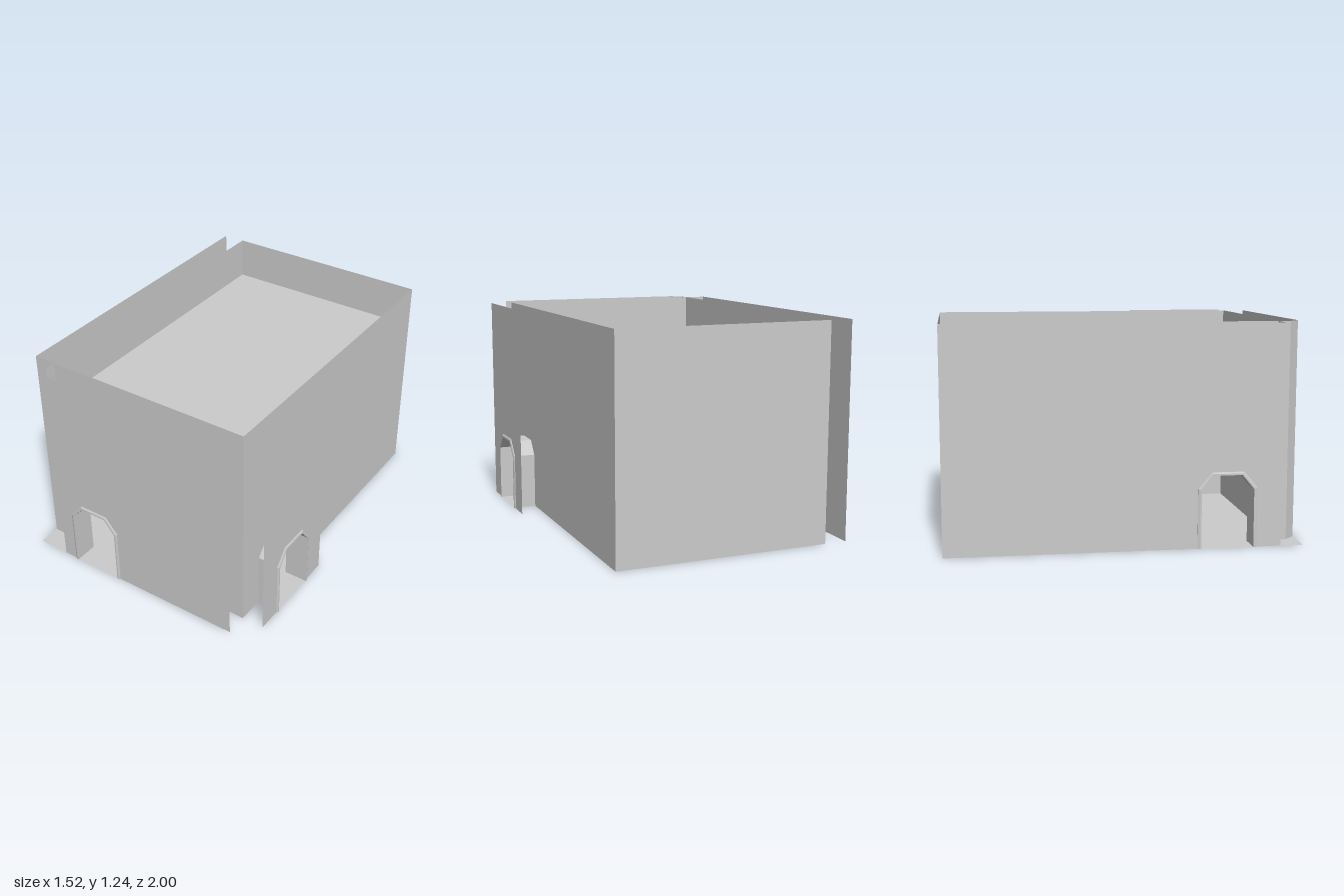
import * as THREE from 'three';

const H = 1.24, CEILING = 0.99;
const material = new THREE.MeshStandardMaterial({ color: 0xcccccc, side: THREE.DoubleSide, flatShading: true });

function part(name, geometry, parent) {
  const mesh = new THREE.Mesh(geometry, material);
  mesh.name = name;
  parent.add(mesh);
  return mesh;
}

// Chamfered doorway outline from foot to foot, centred on u
function doorway(u, halfWidth, shoulder, halfTop, top) {
  return [[-halfWidth, 0], [-halfWidth, shoulder], [-halfTop, top], [halfTop, top], [halfWidth, shoulder], [halfWidth, 0]]
    .map(([x, y]) => new THREE.Vector2(u + x, y));
}
const opening = (u) => doorway(u, 0.147, 0.327, 0.08, 0.408);
const trimMiddle = (u) => doorway(u, 0.156, 0.331, 0.085, 0.417);
const trimOuter = (u) => doorway(u, 0.167, 0.335, 0.09, 0.426);

// Open sheet spanned between two matching polylines
function sheet(a, za, b, zb) {
  const pos = [];
  for (let i = 0; i < a.length - 1; i++) {
    const p = [a[i].x, a[i].y, za], q = [a[i + 1].x, a[i + 1].y, za];
    const r = [b[i + 1].x, b[i + 1].y, zb], s = [b[i].x, b[i].y, zb];
    pos.push(...p, ...q, ...r, ...p, ...r, ...s);
  }
  const g = new THREE.BufferGeometry();
  g.setAttribute('position', new THREE.Float32BufferAttribute(pos, 3));
  g.computeVertexNormals();
  return g;
}

// Flat wall from u0 to u1 with a doorway cut up from the ground
function wall(u0, u1, door) {
  const v = (x, y) => new THREE.Vector2(x, y);
  return new THREE.ShapeGeometry(new THREE.Shape([v(u0, 0), ...opening(door), v(u1, 0), v(u1, H), v(u0, H)]));
}

function slab(x0, x1, z0, z1, y) {
  return new THREE.PlaneGeometry(x1 - x0, z1 - z0).rotateX(-Math.PI / 2)
    .translate((x0 + x1) / 2, y, (z0 + z1) / 2);
}

// One side of the room: inner wall, outer facing, passage and door trim
function doorSide(name, angle, inner, innerD, outer, outerD, door) {
  const side = new THREE.Group();
  side.name = name;
  side.rotation.y = angle;
  part('innerWall', wall(...inner, door), side).position.z = innerD;
  part('outerFacing', wall(...outer, door), side).position.z = outerD;

  const hole = opening(door), mid = trimMiddle(door), rim = trimOuter(door);
  part('doorPassage', sheet(hole, innerD, hole, outerD), side);
  part('passageFloor', slab(door - 0.147, door + 0.147, innerD, outerD, 0), side);

  // Raised trim with a bevelled outer border
  const front = outerD + 0.008, back = outerD - 0.006;
  const trim = new THREE.Group();
  trim.name = 'doorTrim';
  part('trimReveal', sheet(hole, back, hole, front), trim);
  part('trimFace', sheet(hole, front, mid, front), trim);
  part('trimBevel', sheet(mid, front, rim, outerD + 0.003), trim);
  part('trimEdge', sheet(rim, outerD + 0.003, rim, back), trim);
  side.add(trim);
  return side;
}

export function createModel() {
  const model = new THREE.Group();
  model.name = 'room';

  // Three sides with doorways
  const q = Math.PI / 2;
  model.add(doorSide('frontSide', 0, [-0.62, 0.62], 0.86, [-0.56, 0.62], 0.99, -0.31));
  model.add(doorSide('leftSide', q, [-0.86, 1], 0.62, [-0.86, -0.25], 0.75, -0.555));
  model.add(doorSide('rightSide', -q, [-1, 0.86], 0.62, [-1, 0.86], 0.75, 0.555));

  // Plain back wall
  part('backWall', new THREE.PlaneGeometry(1.24, H), model).position.set(0, H / 2, -1);

  // Stepped and chamfered return joining the front and right facings
  const corner = [[-0.75, 0.86], [-0.62, 0.86], [-0.62, 0.93], [-0.56, 0.99]]
    .map(([x, z]) => new THREE.Vector2(x, -z));
  part('cornerReturn', sheet(corner, 0, corner, H).rotateX(-q), model);

  // Floor, corner floor and recessed ceiling
  part('floor', slab(-0.62, 0.62, -1, 0.86, 0), model);
  part('cornerFloor', slab(-0.75, -0.5, 0.86, 0.99, 0), model);
  part('ceiling', slab(-0.62, 0.62, -1, 0.86, CEILING), model);
  return model;
}
